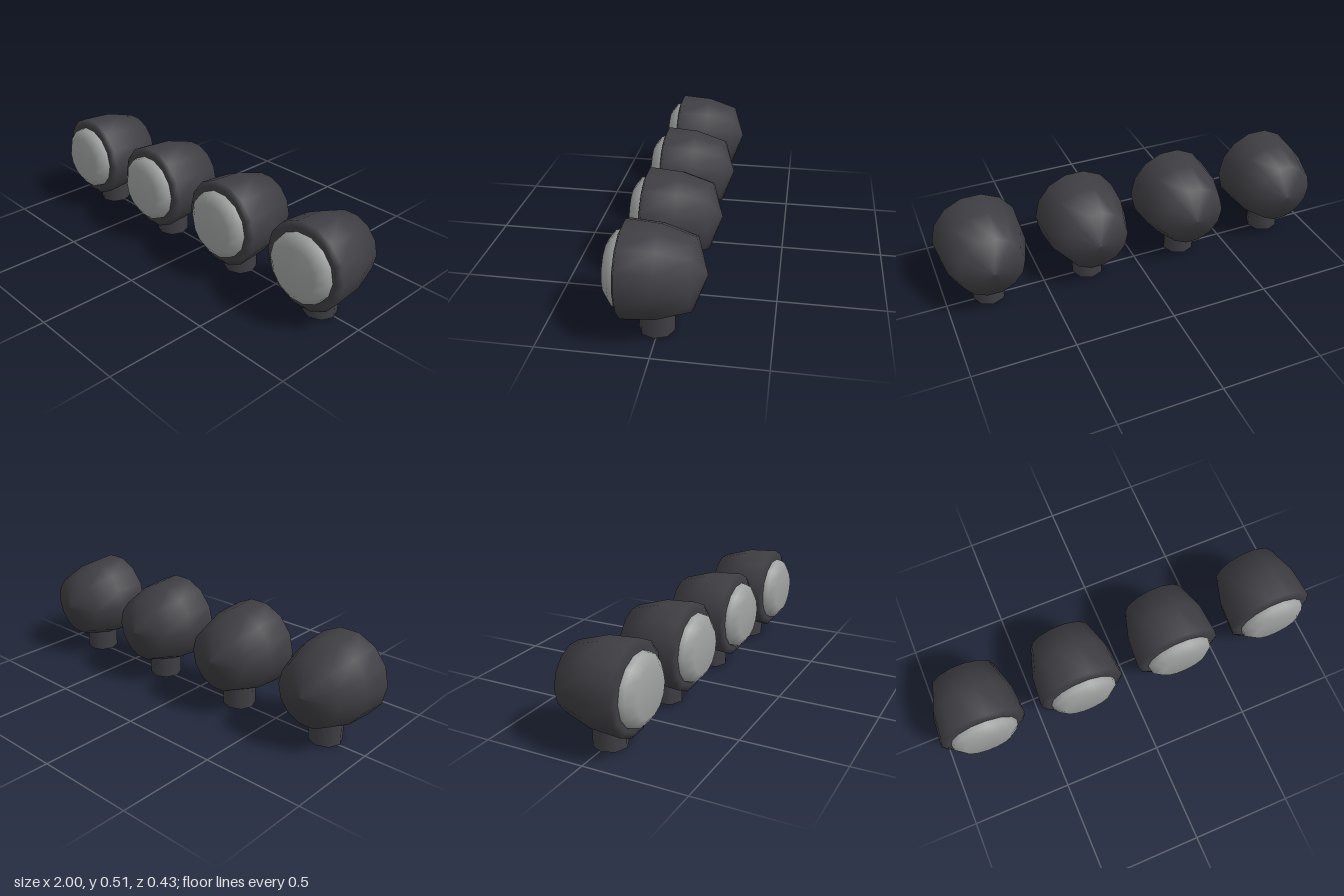
import * as THREE from 'three';

const SIDES = 14;
const CENTRE_Y = 0.295;

// Smooth solid of revolution around z, from [radius, z] points listed back to front
function turned(profile) {
  const points = profile.map(([r, z]) => new THREE.Vector2(r, z));
  return new THREE.LatheGeometry(points, SIDES, Math.PI / 2).rotateX(Math.PI / 2);
}

export function createModel() {
  const housingMat = new THREE.MeshStandardMaterial({ color: 0x3f3e43 });
  housingMat.name = 'dark grey housing';
  const lensMat = new THREE.MeshStandardMaterial({ color: 0x9fa1a1 });
  lensMat.name = 'pale grey lens';

  // Tapered shell with a pointed back and a bevelled front rim
  const housingGeo = turned([
    [0, -0.215], [0.161, -0.16], [0.207, -0.01],
    [0.2175, 0.143], [0.188, 0.157], [0, 0.157],
  ]);
  // Bevelled lens with a flat face
  const lensGeo = turned([[0.171, 0.15], [0.165, 0.183], [0.12, 0.216], [0, 0.216]]);
  // Short stem running up into the shell
  const stemGeo = new THREE.CylinderGeometry(0.0815, 0.0815, 0.16, 8).translate(0, 0.08, 0.008);

  const model = new THREE.Group();
  model.name = 'lampRow';

  // Four equal lamps in a row
  for (let i = 0; i < 4; i++) {
    const lamp = new THREE.Group();
    lamp.name = `lamp${i + 1}`;
    lamp.position.x = (i - 1.5) * 0.5217;

    const housing = new THREE.Mesh(housingGeo, housingMat);
    housing.name = 'housing';
    housing.position.y = CENTRE_Y;

    const lens = new THREE.Mesh(lensGeo, lensMat);
    lens.name = 'lens';
    lens.position.y = CENTRE_Y;

    const stem = new THREE.Mesh(stemGeo, housingMat);
    stem.name = 'stem';

    lamp.add(housing, lens, stem);
    model.add(lamp);
  }
  return model;
}
